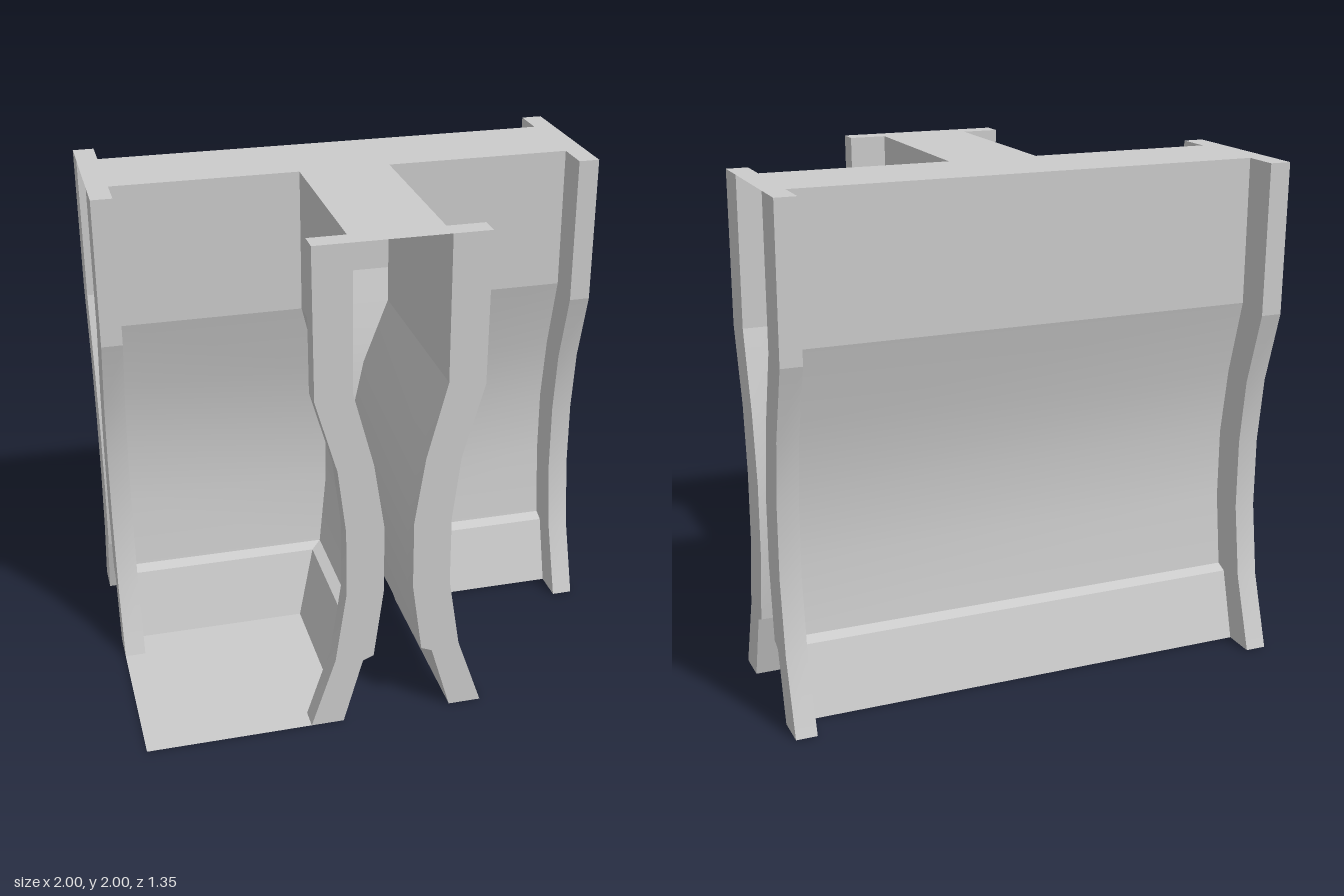
import * as THREE from 'three';
import { toCreasedNormals } from 'three/addons/utils/BufferGeometryUtils.js';

const ZC = -0.327;            // centre line of the long passage
const END = 0.675;            // front end of the short passage
const T = 0.083;              // thickness of the end frames

// [y, half width] of the waisted wall section and of the frames' outer edge
const INNER = [[2, 0.18], [1.43, 0.18], [1.13, 0.1], [0.86, 0.058], [0.58, 0.058],
  [0.29, 0.097], [0.272, 0.14], [0, 0.218]];
const OUTER = [[0, 0.348], [0.29, 0.25], [0.58, 0.206], [0.86, 0.206], [1.12, 0.238],
  [1.41, 0.322], [2, 0.327]];

const solid = new THREE.MeshStandardMaterial({ color: 0xcccccc });
const sheet = new THREE.MeshStandardMaterial({ color: 0xcccccc, side: THREE.DoubleSide });

function add(group, name, geometry, material) {
  const mesh = new THREE.Mesh(geometry, material);
  mesh.name = name;
  group.add(mesh);
  return mesh;
}

// Thin wall: path(w) gives its [x, z] plan for each half width of the section
function wallGeometry(path) {
  const pos = [], index = [];
  const n = path(0).length;
  for (const [y, w] of INNER) for (const [x, z] of path(w)) pos.push(x, y, z);
  for (let r = 0; r < INNER.length - 1; r++) {
    for (let i = 0; i < n - 1; i++) {
      const a = r * n + i, b = a + n;
      index.push(a, b, a + 1, a + 1, b, b + 1);
    }
  }
  const g = new THREE.BufferGeometry();
  g.setAttribute('position', new THREE.Float32BufferAttribute(pos, 3));
  g.setIndex(index);
  return toCreasedNormals(g, 0.2);
}

// One curved post of an end frame, side = 1 or -1
function postGeometry(side) {
  const pts = [...INNER, ...OUTER].map(([y, w]) => new THREE.Vector2(side * w, y));
  const g = new THREE.ExtrudeGeometry(new THREE.Shape(pts), { depth: T, bevelEnabled: false });
  return toCreasedNormals(g, 0.2);
}

function endFrame(name) {
  const frame = new THREE.Group();
  frame.name = name;
  for (const s of [1, -1]) add(frame, s > 0 ? 'leftPost' : 'rightPost', postGeometry(s), solid);
  return frame;
}

function flat(points, y) {
  const g = new THREE.ShapeGeometry(new THREE.Shape(points.map(([x, z]) => new THREE.Vector2(x, -z))));
  return g.rotateX(-Math.PI / 2).translate(0, y, 0);
}

export function createModel() {
  const model = new THREE.Group();
  model.name = 'teePassage';

  // Corner walls beside the short passage, and the long back wall
  for (const s of [1, -1]) {
    add(model, s > 0 ? 'leftCornerWall' : 'rightCornerWall', wallGeometry(w =>
      [[s * w, END - T], [s * w, ZC + w], [s * (1 - T), ZC + w]]), sheet);
  }
  add(model, 'backWall', wallGeometry(w => [[1 - T, ZC - w], [T - 1, ZC - w]]), sheet);

  // Frames around the three open ends
  const front = endFrame('frontFrame');
  front.position.z = END - T;
  const left = endFrame('leftFrame');
  left.rotation.y = Math.PI / 2;
  left.position.set(1 - T, 0, ZC);
  const right = endFrame('rightFrame');
  right.rotation.y = -Math.PI / 2;
  right.position.set(T - 1, 0, ZC);
  model.add(front, left, right);

  // Flat tee-shaped roof
  const h = INNER[0][1];
  add(model, 'roof', flat([[-1, ZC - h], [1, ZC - h], [1, ZC + h], [h, ZC + h],
    [h, END], [-h, END], [-h, ZC + h], [-1, ZC + h]], 2), sheet);

  // Floor panel in one outer corner
  add(model, 'floorPanel', flat([[-1, -0.109], [-0.218, -0.109], [-0.218, END], [-1, END]], 0), sheet);

  return model;
}
